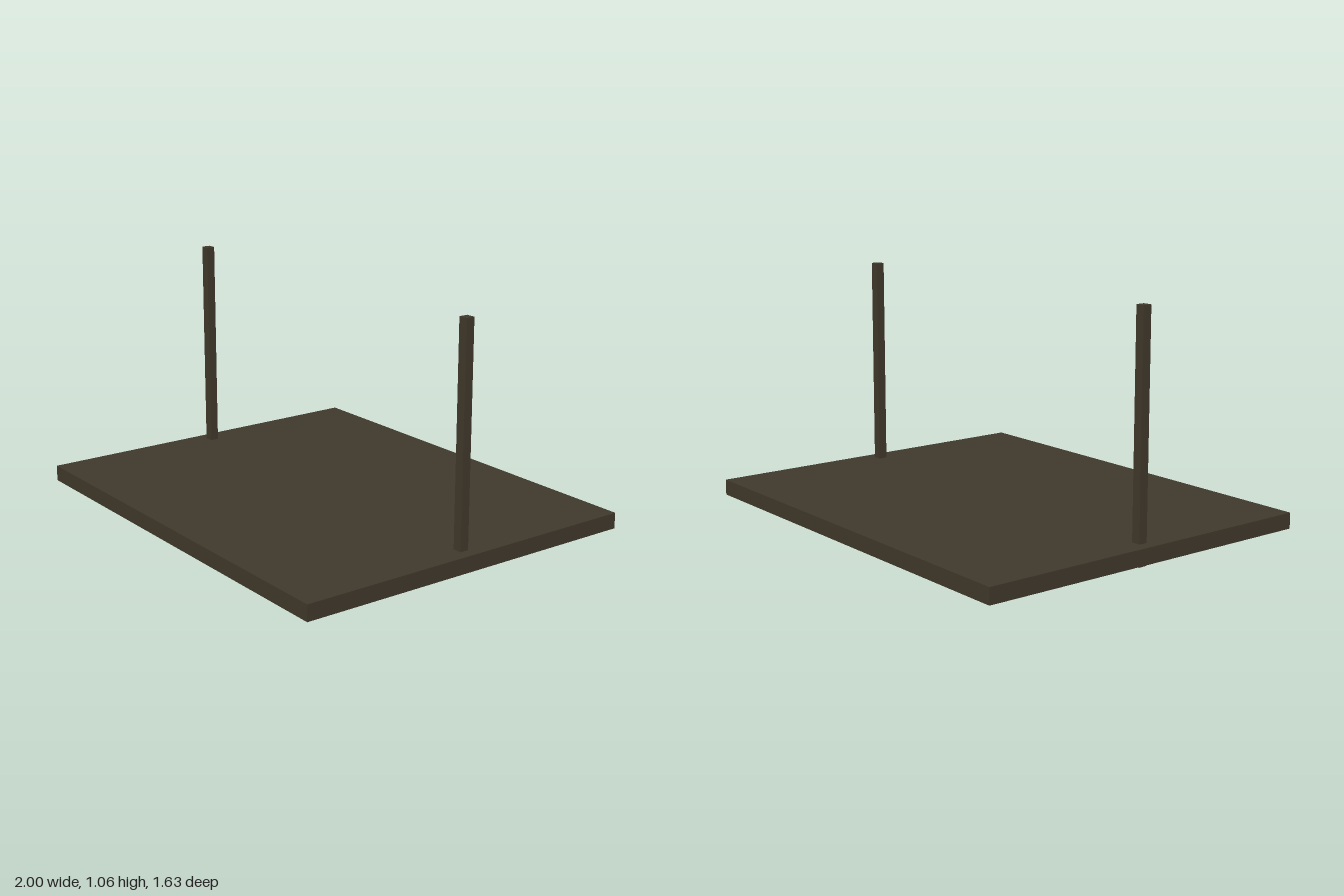
import * as THREE from 'three';

export function createModel() {
  const group = new THREE.Group();
  const darkWood = new THREE.MeshStandardMaterial({ color: 0x40382b });
  darkWood.name = 'darkWood';

  const addBox = (name, size, position) => {
    const mesh = new THREE.Mesh(new THREE.BoxGeometry(...size), darkWood);
    mesh.name = name;
    mesh.position.set(...position);
    group.add(mesh);
  };

  // Flat platform, raised slightly off the ground
  addBox('platform', [2, 0.071, 1.632], [0, 0.0605, 0]);

  // Upright posts passing through the platform at each side
  const postHeight = 1.057;
  for (const [name, side] of [['leftPost', 1], ['rightPost', -1]]) {
    addBox(name, [0.042, postHeight, 0.04], [side * 0.927, postHeight / 2, 0]);
  }

  return group;
}
